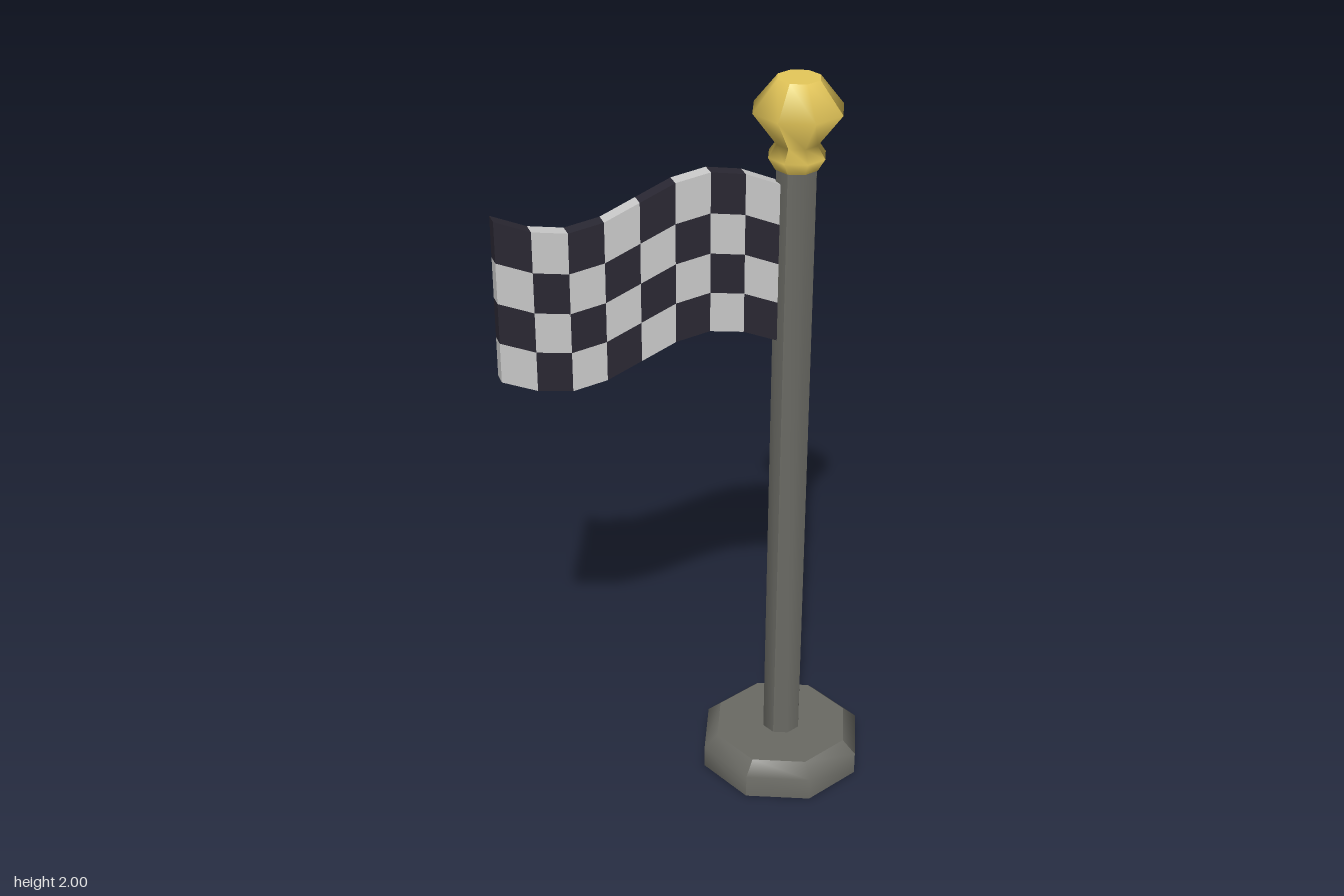
import * as THREE from 'three';
import { mergeGeometries } from 'three/addons/utils/BufferGeometryUtils.js';

const POLE_X = 0.262;

function part(name, geometry, color) {
  const mesh = new THREE.Mesh(geometry, new THREE.MeshStandardMaterial({ color }));
  mesh.name = name;
  return mesh;
}

// Eight-sided turned solid: four smooth quarters meeting in hard diagonal edges, plus flat caps
function octagonTurned(profile) {
  const points = profile.map(([r, y]) => new THREE.Vector2(r, y));
  const pieces = [];
  for (let q = 0; q < 4; q++) {
    const quarter = new THREE.LatheGeometry(points, 2, Math.PI / 4 + q * Math.PI / 2, Math.PI / 2);
    quarter.computeVertexNormals();
    pieces.push(quarter);
  }
  const [bottom, top] = [profile[0], profile[profile.length - 1]];
  pieces.push(new THREE.CircleGeometry(bottom[0], 8).rotateX(Math.PI / 2).translate(0, bottom[1], 0));
  pieces.push(new THREE.CircleGeometry(top[0], 8).rotateX(-Math.PI / 2).translate(0, top[1], 0));
  return mergeGeometries(pieces).translate(POLE_X, 0, 0);
}

// Waving chequered cloth, sorted into dark and light squares
function createFlag() {
  const cols = 8, rows = 4, left = -0.4915, w = 0.0882, h = 0.1045, thick = 0.038;
  const wave = x => 1.743 - 0.054 * Math.sin((x - left) / (cols * w) * Math.PI * 2);
  const squares = [[], []];
  for (let i = 0; i < cols; i++) {
    for (let j = 0; j < rows; j++) {
      const cell = new THREE.BoxGeometry(w, h, thick);
      cell.translate(left + (i + 0.5) * w, -(j + 0.5) * h, 0);
      const pos = cell.attributes.position;
      for (let v = 0; v < pos.count; v++) pos.setY(v, pos.getY(v) + wave(pos.getX(v)));
      // Keep only the faces on the outside of the cloth
      const keep = [i === cols - 1, i === 0, j === 0, j === rows - 1, true, true];
      const index = Array.from(cell.index.array).filter((_, n) => keep[Math.floor(n / 6)]);
      cell.setIndex(index);
      cell.clearGroups();
      cell.computeVertexNormals();
      squares[(i + j) % 2].push(cell);
    }
  }
  const flag = new THREE.Group();
  flag.name = 'flag';
  flag.add(part('darkSquares', mergeGeometries(squares[0]), 0x2a2833));
  flag.add(part('lightSquares', mergeGeometries(squares[1]), 0xcccccc));
  return flag;
}

export function createModel() {
  const model = new THREE.Group();
  model.name = 'flagPole';

  // Bevelled foot
  model.add(part('base', octagonTurned([[0.228, 0], [0.228, 0.065], [0.19, 0.1]]), 0x6a6a64));

  // Upright
  model.add(part('pole', octagonTurned([[0.053, 0.09], [0.053, 1.785]]), 0x6a6a64));

  // Gold knob with its collar
  model.add(part('finial', octagonTurned([
    [0.055, 1.775], [0.074, 1.807], [0.053, 1.838], [0.116, 1.923], [0.055, 2],
  ]), 0xe6c85a));

  model.add(createFlag());
  return model;
}
